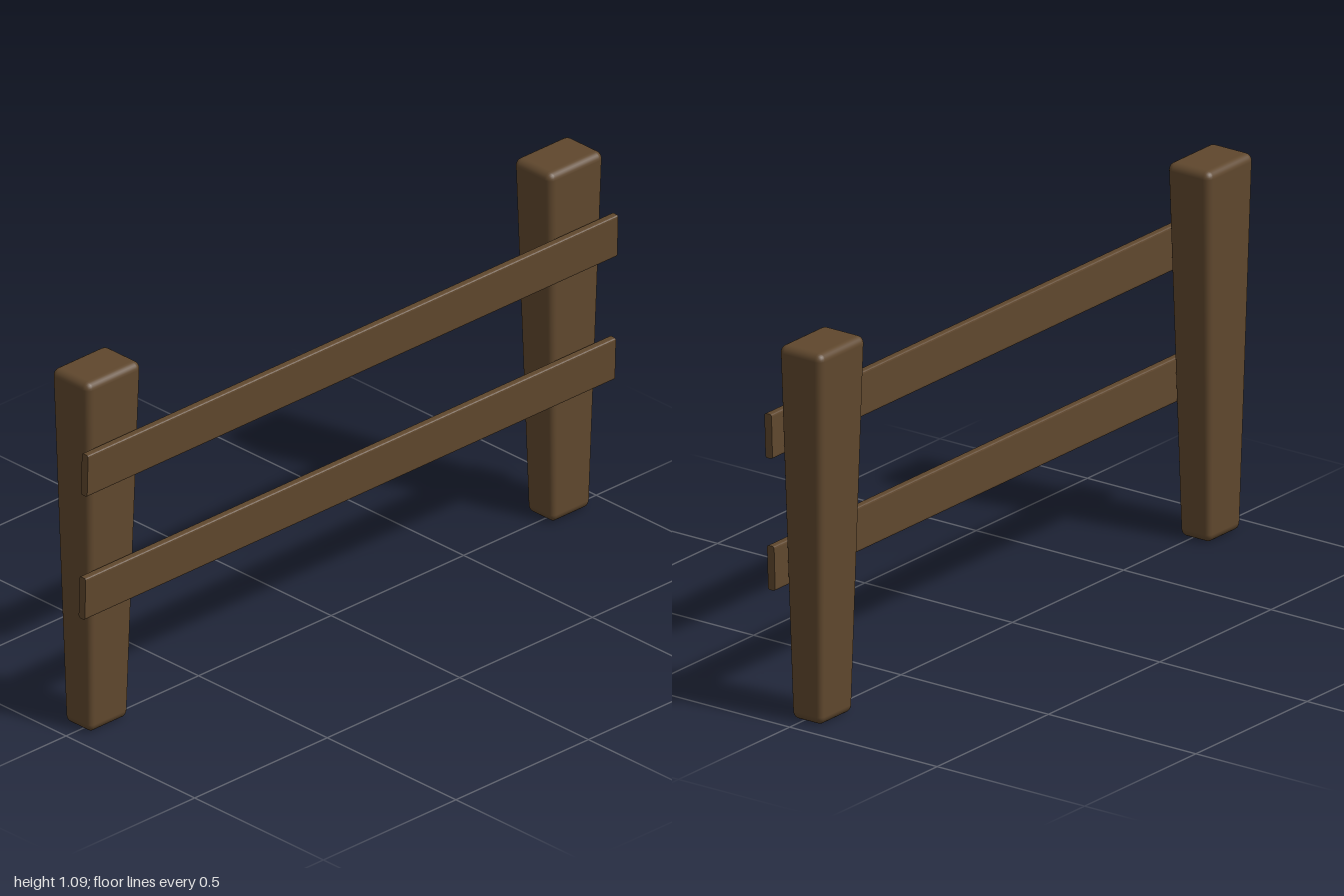
import * as THREE from 'three';
import { RoundedBoxGeometry } from 'three/addons/geometries/RoundedBoxGeometry.js';

const wood = new THREE.MeshStandardMaterial({ color: 0x5f472d });

// Rounded post that narrows towards its foot
function postGeometry(width, height, depth, footScale) {
  const geo = new RoundedBoxGeometry(width, height, depth, 3, 0.022);
  geo.translate(0, height / 2, 0);
  const p = geo.attributes.position;
  for (let i = 0; i < p.count; i++) {
    const s = THREE.MathUtils.lerp(footScale, 1, p.getY(i) / height);
    p.setX(i, p.getX(i) * s);
    p.setZ(i, p.getZ(i) * s);
  }
  return geo;
}

// Flat board with softened long edges, running along z
function railGeometry(thickness, height, length, r) {
  const w = thickness / 2, h = height / 2;
  const shape = new THREE.Shape();
  shape.moveTo(-w + r, -h);
  shape.lineTo(w - r, -h);
  shape.quadraticCurveTo(w, -h, w, -h + r);
  shape.lineTo(w, h - r);
  shape.quadraticCurveTo(w, h, w - r, h);
  shape.lineTo(-w + r, h);
  shape.quadraticCurveTo(-w, h, -w, h - r);
  shape.lineTo(-w, -h + r);
  shape.quadraticCurveTo(-w, -h, -w + r, -h);
  const geo = new THREE.ExtrudeGeometry(shape, { depth: length, bevelEnabled: false, curveSegments: 3 });
  return geo.translate(0, 0, -length / 2);
}

export function createModel() {
  const fence = new THREE.Group();
  fence.name = 'fence';

  // Two posts, mirrored front to back
  const postGeo = postGeometry(0.147, 1.085, 0.207, 0.69);
  for (const [name, side] of [['frontPost', 1], ['backPost', -1]]) {
    const post = new THREE.Mesh(postGeo, wood);
    post.name = name;
    post.position.set(-0.0135, 0, side * 0.872);
    fence.add(post);
  }

  // Two rails leaning with the taper of the posts
  const railGeo = railGeometry(0.024, 0.128, 2, 0.007);
  for (const [name, x, y] of [['upperRail', 0.072, 0.826], ['lowerRail', 0.063, 0.446]]) {
    const rail = new THREE.Mesh(railGeo, wood);
    rail.name = name;
    rail.position.set(x, y, 0);
    rail.rotation.z = -0.03;
    fence.add(rail);
  }

  return fence;
}
